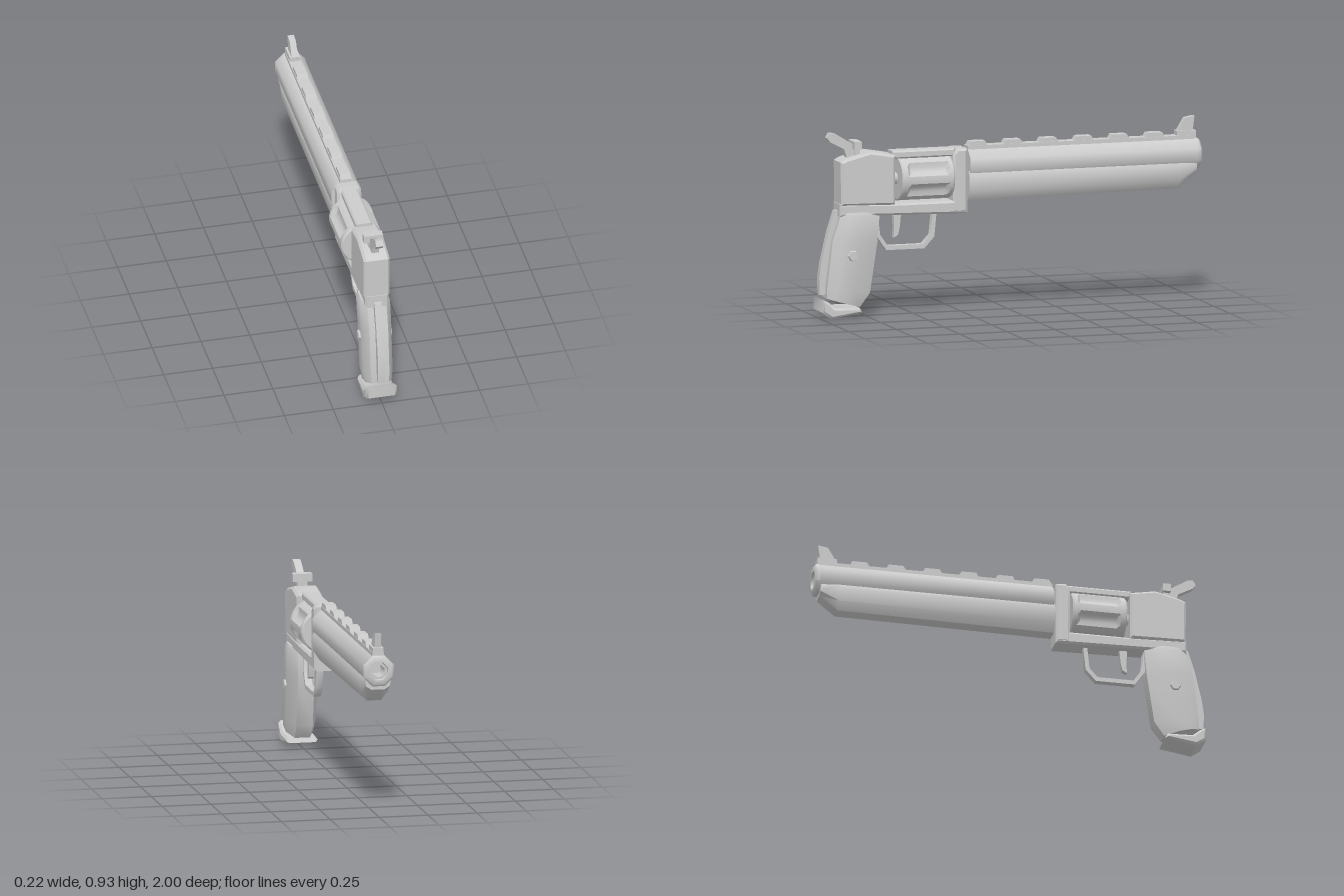
import * as THREE from 'three';
import { toCreasedNormals } from 'three/addons/utils/BufferGeometryUtils.js';

const steel = new THREE.MeshStandardMaterial({ color: 0xcccccc });
steel.name = 'light grey';

export function createModel() {
  const root = new THREE.Group();
  root.name = 'revolver';

  function add(name, geometry, crease = 0.9) {
    const mesh = new THREE.Mesh(toCreasedNormals(geometry, crease), steel);
    mesh.name = name;
    root.add(mesh);
    return mesh;
  }

  // Box given by half width and its y and z ranges
  function box(name, hw, y0, y1, z0, z1) {
    const g = new THREE.BoxGeometry(hw * 2, y1 - y0, Math.abs(z1 - z0));
    g.translate(0, (y0 + y1) / 2, (z0 + z1) / 2);
    return add(name, g);
  }

  // Side profile of [z, y] points, extruded across x
  function plate(name, pts, hw, bevel = 0) {
    const shape = new THREE.Shape(pts.map(([z, y]) => new THREE.Vector2(z, y)));
    const g = new THREE.ExtrudeGeometry(shape, {
      depth: 2 * (hw - bevel), bevelEnabled: bevel > 0, bevelThickness: bevel,
      bevelSize: bevel, bevelOffset: -bevel, bevelSegments: 1,
    });
    g.translate(0, 0, -(hw - bevel));
    g.rotateY(-Math.PI / 2);
    return add(name, g, 0.7);
  }

  // Closed skin over rings of [x, y, z], counterclockwise seen from the first end
  function loft(name, rings, crease) {
    const n = rings[0].length, pos = rings.flat(2), idx = [];
    for (let i = 0; i < rings.length - 1; i++) {
      for (let j = 0; j < n; j++) {
        const k = (j + 1) % n, a = i * n + j, b = i * n + k, d = a + n, c = b + n;
        idx.push(a, d, c, a, c, b);
      }
    }
    [0, rings.length - 1].forEach((r, end) => {
      const mid = [0, 1, 2].map((c) => rings[r].reduce((s, p) => s + p[c], 0) / n);
      const m = pos.length / 3;
      pos.push(...mid);
      for (let j = 0; j < n; j++) {
        const a = r * n + j, b = r * n + (j + 1) % n;
        if (end) idx.push(m, b, a); else idx.push(m, a, b);
      }
    });
    const g = new THREE.BufferGeometry();
    g.setAttribute('position', new THREE.Float32BufferAttribute(pos, 3));
    g.setIndex(idx);
    return add(name, g, crease);
  }

  // Octagonal barrel with a raised muzzle ring and a blind bore
  const barrelProfile = [
    [0, -0.22], [0.08, -0.22], [0.08, 0.965], [0.083, 0.972], [0.083, 0.988],
    [0.07, 1], [0.048, 1], [0.045, 0.985], [0.032, 0.985], [0.03, 0.9], [0, 0.9],
  ].map(([r, f]) => new THREE.Vector2(r, f));
  const barrel = new THREE.LatheGeometry(barrelProfile, 8, Math.PI / 8);
  barrel.rotateX(-Math.PI / 2);
  barrel.translate(0, 0.742, 0);
  add('barrel', barrel);

  // Tapered lug under the barrel with a sloped nose
  const lugRing = (z, bottom, w) => {
    const side = [[0.5 * w, bottom], [0.9 * w, bottom + 0.35 * (0.69 - bottom)], [w, 0.685], [0.8 * w, 0.71]];
    return [...side, ...side.slice().reverse().map(([x, y]) => [-x, y])].map(([x, y]) => [x, y, z]);
  };
  loft('barrelLug', [lugRing(0.225, 0.56, 0.074), lugRing(-0.88, 0.572, 0.074), lugRing(-0.972, 0.645, 0.066)], 0.8);

  // Sighting rib with six teeth
  box('rib', 0.03, 0.8, 0.835, 0.22, -0.97);
  for (let i = 0; i < 6; i++) {
    const z = 0.218 - i * 0.186;
    plate('ribTooth', [[z, 0.83], [z - 0.015, 0.856], [z - 0.09, 0.856], [z - 0.105, 0.83]], 0.027);
  }
  box('frontSightBase', 0.027, 0.82, 0.858, -0.88, -0.98);
  plate('frontSight', [[-0.885, 0.855], [-0.925, 0.922], [-0.975, 0.93], [-0.965, 0.855]], 0.016);

  // Frame around the cylinder
  plate('frameFront', [[0.23, 0.505], [0.305, 0.505], [0.305, 0.8], [0.285, 0.828], [0.23, 0.825]], 0.062, 0.012);
  plate('frameBottom', [[0.23, 0.5], [0.72, 0.51], [0.9, 0.51], [0.9, 0.575], [0.6, 0.565], [0.23, 0.565]], 0.06, 0.01);
  plate('topStrap', [[0.29, 0.788], [0.62, 0.788], [0.62, 0.828], [0.29, 0.828]], 0.042, 0.008);
  plate('frameRear', [[0.61, 0.56], [0.895, 0.565], [0.897, 0.785], [0.87, 0.8], [0.74, 0.833], [0.61, 0.81]], 0.067, 0.012);

  // Cylinder with six closed flutes, lands pointing sideways
  const drumRing = (z, r, flute) => Array.from({ length: 36 }, (_, i) => {
    const a = (i / 36) * Math.PI * 2;
    const off = Math.abs((i % 6) - 3);
    const rr = r - (off < 2 ? flute * (off === 0 ? 1 : 0.8) : 0);
    return [rr * Math.cos(a), 0.685 + rr * Math.sin(a), z];
  });
  loft('cylinder', [
    drumRing(0.587, 0.104, 0), drumRing(0.58, 0.11, 0), drumRing(0.555, 0.11, 0), drumRing(0.54, 0.11, 0.02),
    drumRing(0.35, 0.11, 0.02), drumRing(0.335, 0.11, 0), drumRing(0.318, 0.11, 0), drumRing(0.31, 0.102, 0),
  ], 0.6);
  const axle = new THREE.CylinderGeometry(0.03, 0.03, 0.36, 8);
  axle.rotateX(Math.PI / 2);
  axle.translate(0, 0.685, 0.45);
  add('cylinderAxle', axle);

  // Hammer and rear sight
  plate('hammer', [[0.955, 0.905], [0.94, 0.93], [0.91, 0.925], [0.825, 0.872], [0.78, 0.8], [0.85, 0.79], [0.865, 0.845], [0.94, 0.885]], 0.019);
  box('rearSightStem', 0.025, 0.81, 0.85, 0.785, 0.815);
  box('rearSight', 0.049, 0.845, 0.885, 0.782, 0.822);

  // Trigger guard as a mitred strip, and the trigger
  plate('triggerGuard', [
    [0.715, 0.52], [0.695, 0.4], [0.645, 0.327], [0.445, 0.327], [0.392, 0.385], [0.38, 0.51],
    [0.4, 0.51], [0.412, 0.395], [0.453, 0.349], [0.637, 0.349], [0.677, 0.407], [0.69, 0.52],
  ], 0.018);
  plate('trigger', [[0.605, 0.52], [0.565, 0.52], [0.572, 0.44], [0.582, 0.4], [0.605, 0.388], [0.602, 0.43]], 0.014);

  // Grip rings from top to bottom: back z and y, front z and y, half width
  const gripRing = ([zb, yb, zf, yf, w]) => {
    const side = [[0.62, 0], [0.97, 0.2], [1, 0.6], [0.55, 1]].map(([x, t]) => [x * w, yb + (yf - yb) * t, zb + (zf - zb) * t]);
    return [...side, ...side.slice().reverse().map(([x, y, z]) => [-x, y, z])];
  };
  loft('grip', [
    [0.89, 0.53, 0.7, 0.528, 0.07], [0.895, 0.51, 0.688, 0.51, 0.079], [0.935, 0.39, 0.7, 0.37, 0.077],
    [0.965, 0.15, 0.738, 0.12, 0.076], [0.965, 0.1, 0.79, 0.05, 0.07],
  ].map(gripRing), 0.8);
  plate('backstrap', [
    [0.885, 0.54], [0.91, 0.4], [0.945, 0.12], [0.995, 0.115], [0.997, 0.2], [0.985, 0.28], [0.95, 0.43], [0.915, 0.54],
  ], 0.018);
  plate('buttCap', [
    [0.997, 0.1], [0.965, 0.085], [0.93, 0.055], [0.8, 0.05], [0.787, 0.025], [0.95, 0], [0.998, 0.035],
  ], 0.08, 0.012);

  // Hexagonal grip screws
  for (const s of [-1, 1]) {
    const screw = new THREE.CylinderGeometry(0.024, 0.032, 0.02, 6);
    screw.rotateZ(-s * Math.PI / 2);
    screw.translate(s * 0.076, 0.315, 0.838);
    add('gripScrew', screw);
  }
  return root;
}
